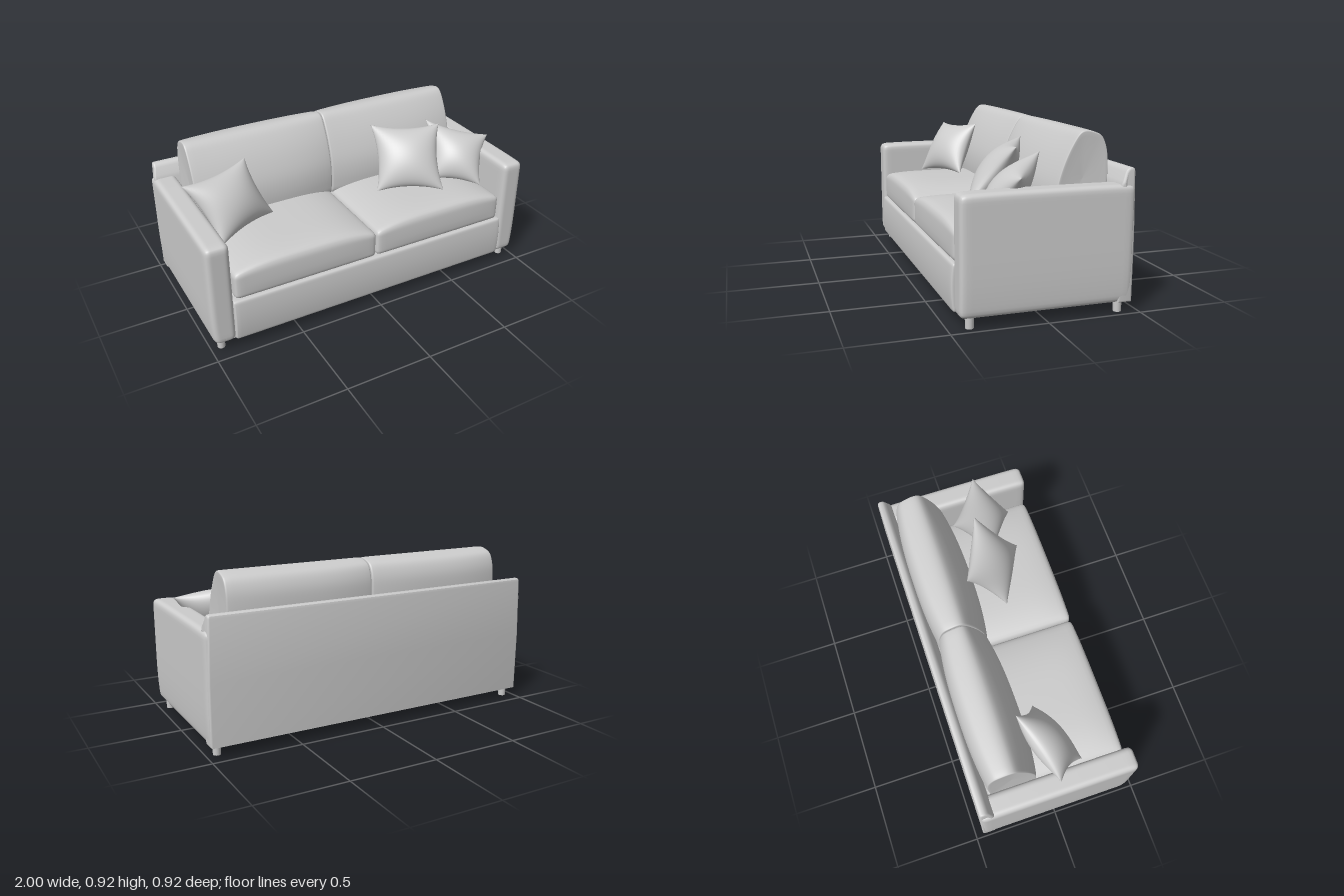
import * as THREE from 'three';
import { mergeVertices, mergeGeometries, toCreasedNormals } from 'three/addons/utils/BufferGeometryUtils.js';

const material = new THREE.MeshStandardMaterial({ color: 0xcccccc, roughness: 0.9 });

function mesh(name, geometry) {
  const m = new THREE.Mesh(geometry, material);
  m.name = name;
  return m;
}

// weld the seams and shade smoothly
function smooth(geometry) {
  geometry.deleteAttribute('uv');
  geometry.deleteAttribute('normal');
  const g = mergeVertices(geometry, 1e-5);
  g.computeVertexNormals();
  return g;
}

// move every vertex by a rule
function warp(geometry, rule) {
  const pos = geometry.attributes.position;
  const p = new THREE.Vector3();
  for (let i = 0; i < pos.count; i++) {
    rule(p.fromBufferAttribute(pos, i));
    pos.setXYZ(i, p.x, p.y, p.z);
  }
  return geometry;
}

// box with rounded edges, finely divided so that it can be puffed by a rule
// that receives the point and its -1..1 coordinates
function softBox([x0, x1], [y0, y1], [z0, z1], r, rule) {
  const half = new THREE.Vector3(x1 - x0, y1 - y0, z1 - z0).multiplyScalar(0.5);
  const centre = new THREE.Vector3(x0 + x1, y0 + y1, z0 + z1).multiplyScalar(0.5);
  const inner = half.clone().subScalar(r), outer = inner.clone().negate();
  const core = new THREE.Vector3(), unit = new THREE.Vector3();
  const ease = t => Math.sin(t * Math.PI / 2);
  const g = warp(new THREE.BoxGeometry(2, 2, 2, 24, 24, 24), p => {
    p.set(ease(p.x), ease(p.y), ease(p.z)).multiply(half);
    core.copy(p).clamp(outer, inner);
    p.sub(core).setLength(r).add(core);
    unit.copy(p).divide(half);
    p.add(centre);
    rule(p, unit);
  });
  return smooth(g);
}

// back cushion: a leaning side profile lofted across x, thinner at the ends
function backCushion(x0, x1) {
  const profile = [
    [-0.07, 0.45], [-0.055, 0.52], [-0.065, 0.64], [-0.11, 0.76], [-0.17, 0.86], [-0.215, 0.91],
    [-0.25, 0.921], [-0.31, 0.912], [-0.36, 0.89], [-0.392, 0.83], [-0.402, 0.74], [-0.395, 0.6],
    [-0.37, 0.47], [-0.22, 0.43],
  ].map(([z, y]) => new THREE.Vector3(0, y, z));
  const ring = new THREE.CatmullRomCurve3(profile, true, 'centripetal').getPoints(64).slice(0, 64);
  const cy = 0.68, cz = -0.235;
  const sections = [[-0.975, 0], [-0.985, 0.5], [-0.994, 0.88], [-1, 0.965], [-0.993, 0.987], [-0.975, 0.997]];
  for (let i = -9; i <= 9; i++) sections.push([i / 10, 1]);
  for (let i = 5; i >= 0; i--) sections.push([-sections[i][0], sections[i][1]]);
  const verts = [], index = [], n = ring.length;
  sections.forEach(([u, s], j) => {
    const x = (x0 + x1) / 2 + u * (x1 - x0) / 2;
    const thick = s * (1 - 0.19 * Math.abs(u) ** 2.5);
    ring.forEach((p, i) => {
      verts.push(x, cy + (p.y - cy) * s, cz + (p.z - cz) * thick);
      if (j === 0) return;
      const a = (j - 1) * n + i, b = (j - 1) * n + (i + 1) % n;
      index.push(a, a + n, b, b, a + n, b + n);
    });
  });
  const g = new THREE.BufferGeometry();
  g.setAttribute('position', new THREE.Float32BufferAttribute(verts, 3));
  g.setIndex(index);
  g.computeVertexNormals();
  return g;
}

// scatter pillow: two puffed sheets between four pinched corners
function pillow(corners, puff) {
  const [tl, tr, br, bl] = corners.map(c => new THREE.Vector3(...c));
  const normal = tr.clone().sub(bl).cross(tl.clone().sub(br)).normalize();
  const top = new THREE.Vector3(), bottom = new THREE.Vector3();
  const sheets = [1, -1].map(side => {
    const g = new THREE.PlaneGeometry(2, 2, 24, 24);
    if (side < 0) g.rotateY(Math.PI);
    return warp(g, p => {
      const u = Math.sin(p.x * Math.PI / 2), v = Math.sin(p.y * Math.PI / 2);
      const fu = Math.max(0, 1 - u * u), fv = Math.max(0, 1 - v * v);
      const a = u * (1 - 0.13 * fv), b = v * (1 - 0.13 * fu);
      top.lerpVectors(tl, tr, (a + 1) / 2);
      bottom.lerpVectors(bl, br, (a + 1) / 2);
      p.lerpVectors(bottom, top, (b + 1) / 2);
      p.addScaledVector(normal, side * puff * (fu * fv) ** 0.55);
    });
  });
  return smooth(mergeGeometries(sheets));
}

export function createModel() {
  const sofa = new THREE.Group();
  sofa.name = 'sofa';

  // base and front rail
  sofa.add(mesh('base', new THREE.BoxGeometry(1.78, 0.237, 0.86).translate(0, 0.1785, 0)));
  sofa.add(mesh('frontRail', softBox([-0.87, 0.87], [0.057, 0.306], [0.34, 0.452], 0.015,
    (p, u) => { if (u.z > 0) p.z += 0.01 * (1 - u.y * u.y); })));

  // backrest: side profile with a sloped, rounded top, narrowing above the arms
  const side = new THREE.Shape([
    [0.375, 0.057], [0.455, 0.057], [0.458, 0.4], [0.457, 0.725], [0.454, 0.738], [0.446, 0.744],
    [0.428, 0.745], [0.416, 0.738], [0.405, 0.722], [0.388, 0.68], [0.378, 0.66],
  ].map(p => new THREE.Vector2(...p)));
  const back = new THREE.ExtrudeGeometry(side, {
    depth: 1.956, bevelThickness: 0.012, bevelSize: 0.012, bevelOffset: -0.012, bevelSegments: 3,
  });
  back.translate(0, 0, -0.978).rotateY(Math.PI / 2);
  warp(back, p => { if (p.y > 0.7) p.x *= 0.99; });
  sofa.add(mesh('backrest', toCreasedNormals(back, 0.7)));

  for (const s of [1, -1]) {
    const sideName = s > 0 ? 'left' : 'right';
    const span = (a, b) => s > 0 ? [a, b] : [-b, -a];

    // arm, drawn in slightly at the foot
    sofa.add(mesh(sideName + 'Arm', softBox(span(0.865, 0.998), [0.056, 0.665], [-0.455, 0.449], 0.032,
      (p, u) => {
        if (u.x * s > 0) p.x -= s * 0.012 * Math.max(0, -u.y) ** 3;
        if (u.y > 0) p.y -= 0.005 * u.z ** 4;
      })));

    // crowned seat cushion
    sofa.add(mesh(sideName + 'SeatCushion', softBox(span(0.001, 0.853), [0.302, 0.458], [-0.37, 0.44], 0.028,
      (p, u) => {
        const across = 1 - Math.abs(u.x) ** 3.5;
        if (u.y > 0) p.y += 0.054 * u.y * across * (1 - 0.4 * u.z ** 6);
        if (u.z > 0) p.z += 0.008 * u.z * across * (1 - u.y * u.y);
      })));

    sofa.add(mesh(sideName + 'BackCushion', backCushion(...span(0.002, 0.848))));

    // feet
    for (const [name, z] of [['Front', 0.39], ['Back', -0.398]]) {
      const leg = mesh(sideName + name + 'Leg', new THREE.CylinderGeometry(0.023, 0.021, 0.07, 20));
      leg.position.set(s * 0.94, 0.035, z);
      sofa.add(leg);
    }
  }

  // scatter pillows, corners from top left clockwise
  sofa.add(mesh('rightPillow', pillow(
    [[-0.95, 0.795, 0], [-0.545, 0.818, -0.11], [-0.445, 0.51, 0.03], [-0.82, 0.49, 0.195]], 0.09)));
  sofa.add(mesh('middlePillow', pillow(
    [[0.275, 0.832, -0.115], [0.655, 0.825, 0.05], [0.55, 0.51, 0.285], [0.2, 0.502, 0.1]], 0.09)));
  sofa.add(mesh('leftPillow', pillow(
    [[0.65, 0.8, -0.08], [0.965, 0.718, 0.14], [0.8, 0.49, 0.315], [0.56, 0.505, 0.13]], 0.09)));

  return sofa;
}
